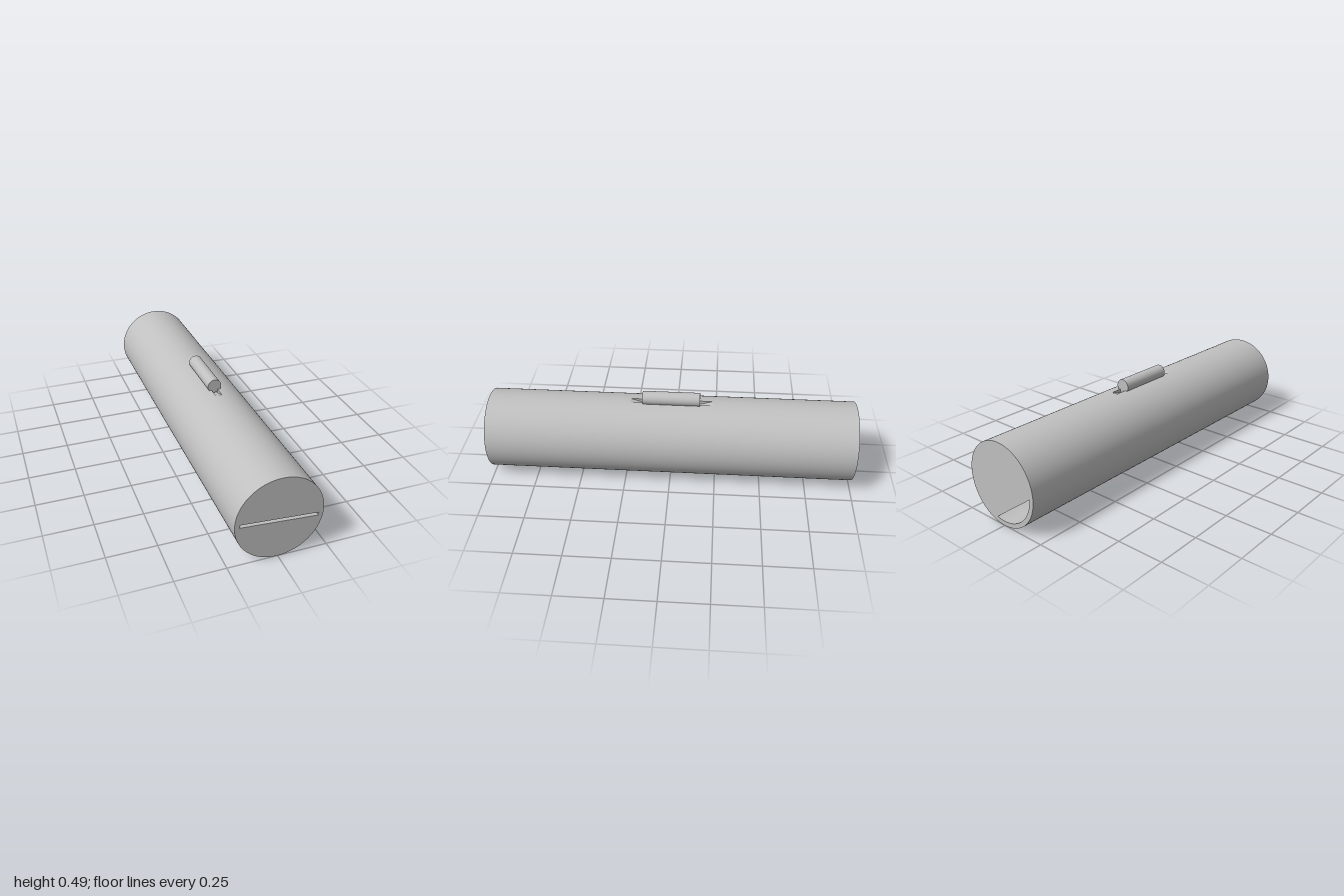
import * as THREE from 'three';

const R = 0.218, CY = 0.219, HALF = 1;          // main barrel
const SCOOP_X = 0.017, SCOOP_Z = 0.222, SCOOP_DEPTH = 0.04;
const GAP = Math.asin(SCOOP_X / R);             // half angle of the groove on top

export function createModel() {
  const model = new THREE.Group();
  model.name = 'cylinderBody';
  const grey = new THREE.MeshStandardMaterial({ color: 0xc0c0c0 });
  grey.name = 'plain grey';

  const add = (name, geometry, parent = model) => {
    const mesh = new THREE.Mesh(geometry, grey);
    mesh.name = name;
    parent.add(mesh);
    return mesh;
  };

  // Open cylinder wall lying along z; angle pi is the top
  const wall = (z0, z1, start, length, segs, rows = 1) =>
    new THREE.CylinderGeometry(R, R, z1 - z0, segs, rows, true, start, length)
      .rotateX(Math.PI / 2).translate(0, CY, (z0 + z1) / 2);

  // Barrel, with a narrow strip on top left open for the groove
  add('barrel', wall(-HALF, HALF, Math.PI + GAP, 2 * (Math.PI - GAP), 96));
  add('topStripFront', wall(SCOOP_Z, HALF, Math.PI - GAP, 2 * GAP, 4));
  add('topStripBack', wall(-HALF, -SCOOP_Z, Math.PI - GAP, 2 * GAP, 4));

  // Groove floor: the strip sinks in a shallow curve under the pin
  const dip = z => SCOOP_DEPTH * (1 - (z / SCOOP_Z) ** 2);
  const floor = wall(-SCOOP_Z, SCOOP_Z, Math.PI - GAP, 2 * GAP, 4, 20);
  const pos = floor.attributes.position;
  for (let i = 0; i < pos.count; i++) pos.setY(i, pos.getY(i) - dip(pos.getZ(i)));
  floor.computeVertexNormals();
  add('grooveFloor', floor);

  // Groove side walls
  const rim = CY + R * Math.cos(GAP);
  const side = [];
  for (let i = 0; i <= 20; i++) {
    const z = SCOOP_Z * (i / 10 - 1);
    side.push(new THREE.Vector2(z, rim - dip(z)));
  }
  for (const s of [-1, 1]) {
    add('grooveWall', new THREE.ShapeGeometry(new THREE.Shape(side))
      .rotateY(-s * Math.PI / 2).translate(s * SCOOP_X, 0, 0));
  }

  // End disc with a deep pocket; points run counter-clockwise, disc faces +z
  const endCap = (name, points, depth) => {
    const group = new THREE.Group();
    group.name = name;
    group.position.y = CY;
    model.add(group);

    const disc = new THREE.Shape().absarc(0, 0, R, 0, Math.PI * 2, false);
    disc.holes.push(new THREE.Path(points));
    add(name + 'Disc', new THREE.ShapeGeometry(disc, 96).translate(0, 0, HALF), group);

    const v = [], z0 = HALF - depth;
    points.forEach((p, i) => {
      const q = points[(i + 1) % points.length];
      v.push(p.x, p.y, z0, p.x, p.y, HALF, q.x, q.y, HALF);
      v.push(p.x, p.y, z0, q.x, q.y, HALF, q.x, q.y, z0);
    });
    const walls = new THREE.BufferGeometry();
    walls.setAttribute('position', new THREE.Float32BufferAttribute(v, 3));
    walls.computeVertexNormals();
    add(name + 'PocketWalls', walls, group);
    add(name + 'PocketFloor',
      new THREE.ShapeGeometry(new THREE.Shape(points)).translate(0, 0, z0), group);
    return group;
  };

  // Front end: thin tilted slot
  const centre = new THREE.Vector2(0, 0);
  const slot = [[-1, -1], [1, -1], [1, 1], [-1, 1]].map(([a, b]) =>
    new THREE.Vector2(a * 0.194, b * 0.0077).rotateAround(centre, -0.077)
      .add(new THREE.Vector2(0, -0.011)));
  endCap('frontEnd', slot, 0.9);

  // Back end: pocket shaped as a circle segment
  const segment = [];
  for (let i = 0; i <= 28; i++) {
    const a = THREE.MathUtils.degToRad(-104.5 + 102.5 * i / 28);
    segment.push(new THREE.Vector2(Math.cos(a), Math.sin(a)).multiplyScalar(0.194));
  }
  endCap('backEnd', segment, 0.9).rotation.y = Math.PI;

  // Small pin lying on top across the groove
  add('topPin', new THREE.CylinderGeometry(0.037, 0.037, 0.31, 48)
    .rotateX(Math.PI / 2).translate(0, 0.457, 0));

  return model;
}
